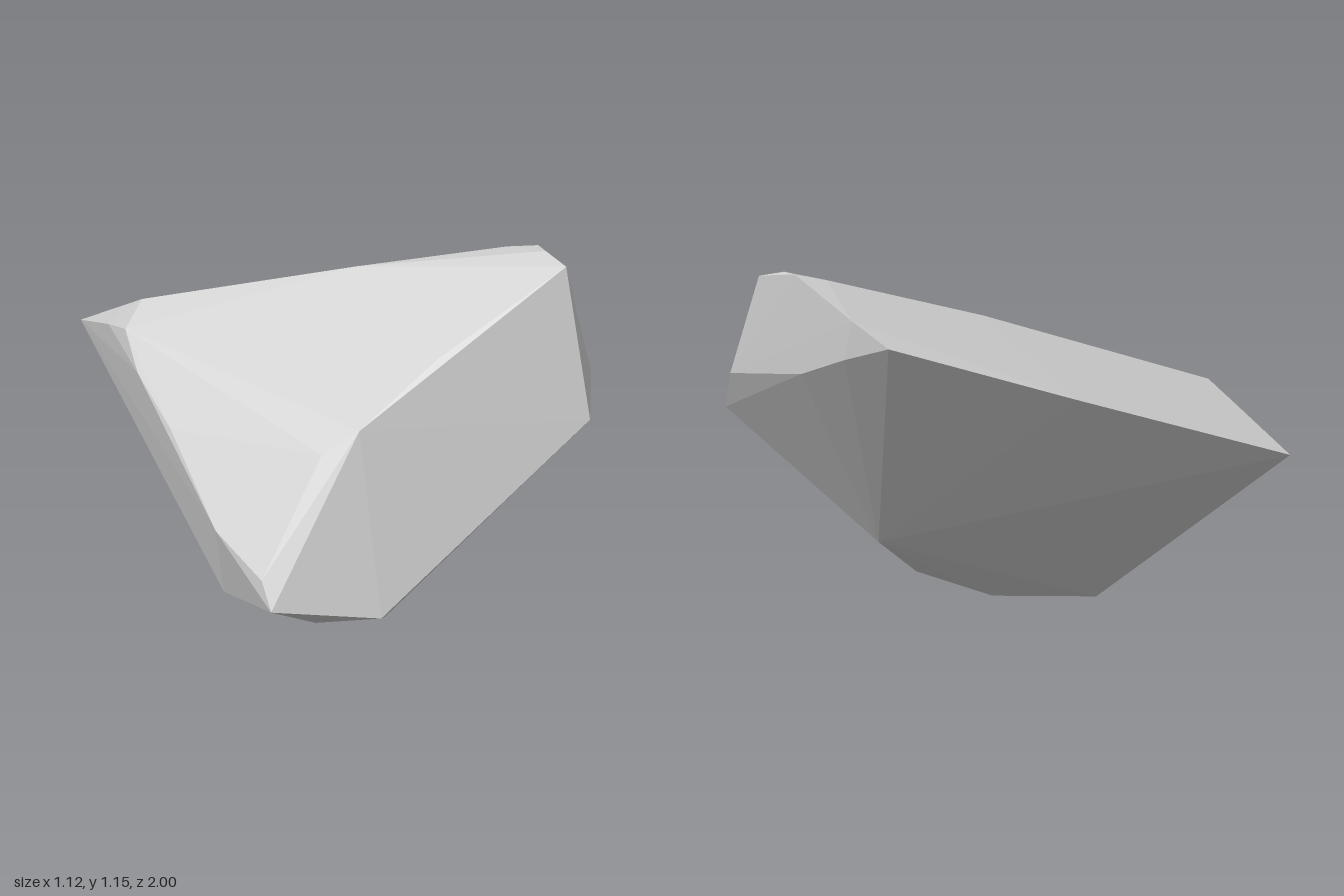
import * as THREE from 'three';
import { ConvexGeometry } from 'three/addons/geometries/ConvexGeometry.js';

// A slanted, faceted stone shard: the hull of its main corners.
const corners = [
  // rear tip and back shoulder
  [0.05, 0.67, -1], [-0.11, 0.85, -0.58], [-0.2, 0.77, -0.57], [-0.14, 0.75, -0.7], [0.34, 0.83, -0.37],
  // top ridge
  [0.17, 1.03, 0.1], [0.4, 1.135, 0.55], [0.44, 1.15, 0.65], [0.41, 1.148, 0.71], [0.39, 1.12, 0.82],
  // outer side
  [0.56, 0.97, 0.21], [0.53, 1.04, 0.37], [0.53, 0.91, 0.4], [0.48, 0.835, 0.6],
  // front edge
  [0.39, 0.79, 0.93], [0.31, 0.66, 1],
  // upper rim of the front face
  [0.03, 0.84, 0.59], [-0.22, 0.63, 0.48], [-0.3, 0.55, 0.39], [-0.33, 0.43, 0.465],
  // sloping upper side
  [-0.54, 0.17, 0.35], [-0.49, 0.28, 0.1], [-0.35, 0.53, -0.23], [-0.27, 0.66, -0.45],
  // foot and underside
  [-0.56, 0.08, 0.41], [-0.33, 0.065, 0.68], [-0.29, 0.06, 0.66], [-0.34, 0, 0.4],
  [-0.36, 0.035, 0.015], [0.1, 0.23, 0.55],
];

export function createModel() {
  const stone = new THREE.MeshStandardMaterial({ color: 0xc6c6c6 });
  stone.name = 'pale stone grey';

  // the hull geometry already carries one normal per facet
  const rock = new THREE.Mesh(new ConvexGeometry(corners.map((p) => new THREE.Vector3(...p))), stone);
  rock.name = 'rock';

  const group = new THREE.Group();
  group.name = 'rockShard';
  group.add(rock);
  return group;
}
